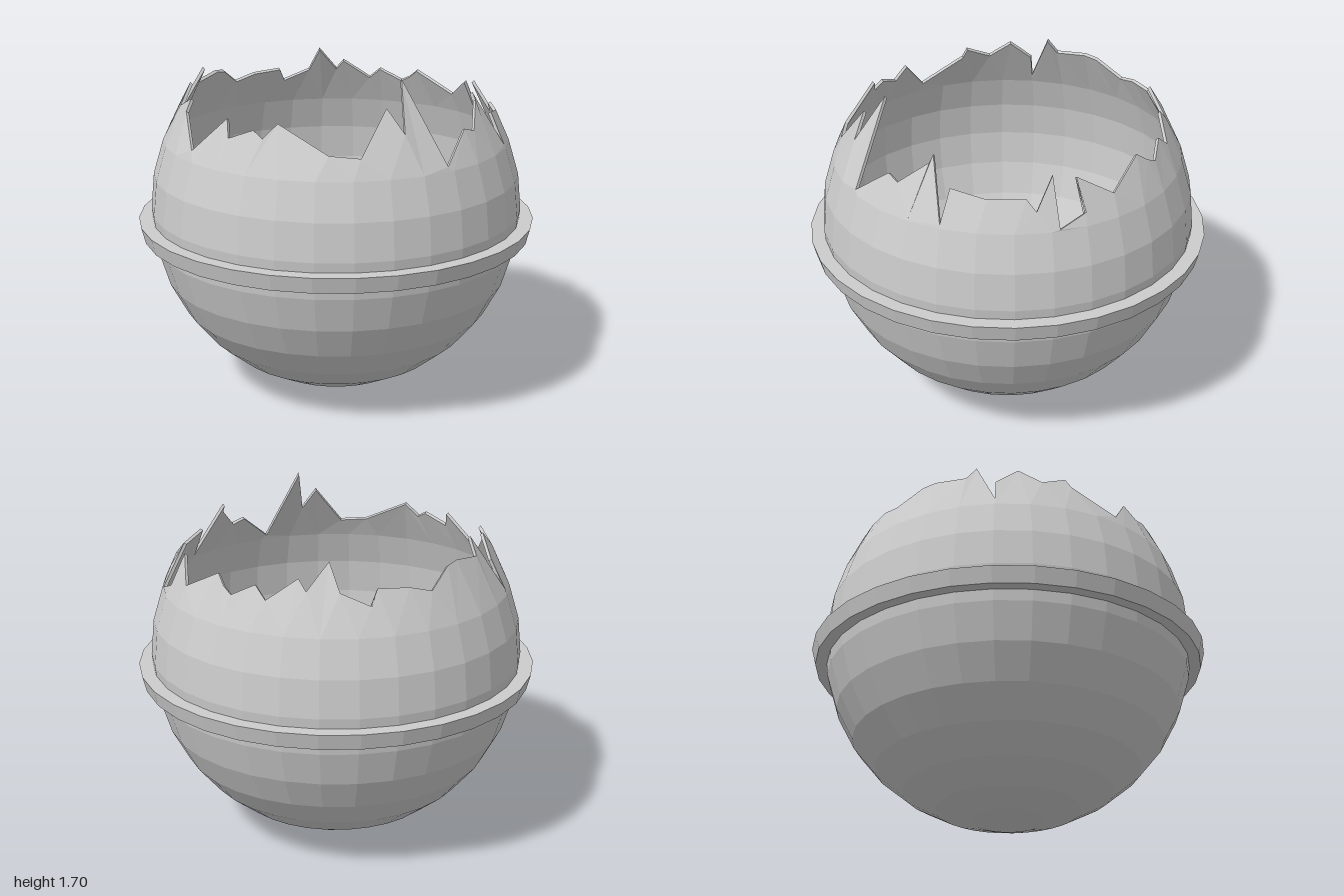
import * as THREE from 'three';

const SIDES = 32, R = 0.935, CY = 0.938, STEP = Math.PI / 16, ROWS = 10;
const INNER = 0.983; // inner skin relative to the outer one

// Broken edge as seen from above: x, z pairs running counter-clockwise from the back
const EDGE = [
  -0.07, -0.80, -0.10, -0.76, -0.25, -0.73, -0.36, -0.70, -0.45, -0.59, -0.50, -0.54, -0.62, -0.42,
  -0.60, -0.36, -0.79, -0.32, -0.72, -0.30, -0.70, -0.18, -0.77, -0.08, -0.74, 0.05, -0.77, 0.07,
  -0.79, 0.29, -0.64, 0.40, -0.65, 0.46, -0.55, 0.54, -0.52, 0.59, -0.45, 0.60, -0.26, 0.77,
  -0.12, 0.81, 0.03, 0.71, 0.10, 0.77, 0.13, 0.62, 0.30, 0.80, 0.43, 0.66, 0.49, 0.63,
  0.55, 0.49, 0.54, 0.47, 0.71, 0.48, 0.66, 0.42, 0.75, 0.27, 0.79, 0.10, 0.82, 0.06,
  0.75, -0.03, 0.86, -0.04, 0.82, -0.17, 0.75, -0.14, 0.75, -0.32, 0.60, -0.47, 0.58, -0.53,
  0.55, -0.58, 0.44, -0.63, 0.40, -0.69, 0.25, -0.70, 0.22, -0.74, 0.11, -0.69, 0.07, -0.77,
];

// Lifts an edge point onto the sphere; the long splinters stand a little higher
function edgePoint(x, z) {
  const r = Math.hypot(x, z);
  const y = CY + Math.sqrt(R * R - r * r) + 0.4 * Math.max(0, 0.82 - r);
  return new THREE.Vector3(x, y, z);
}

function shrink(p) {
  return new THREE.Vector3(p.x * INNER, CY + (p.y - CY) * INNER, p.z * INNER);
}

// Bowl skin up to the last whole row
function bowlGeometry(radius, inside) {
  const profile = [];
  for (let i = 0; i <= ROWS; i++) {
    profile.push(new THREE.Vector2(radius * Math.sin(i * STEP), CY - radius * Math.cos(i * STEP)));
  }
  if (inside) profile.reverse();
  return new THREE.LatheGeometry(profile, SIDES);
}

// Splintered crown between the last row and the broken edge, with both skins and the lip
function crownGeometry() {
  const ring = [], edge = [], pos = [];
  const r = R * Math.sin(ROWS * STEP), y = CY - R * Math.cos(ROWS * STEP);
  for (let i = 0; i <= SIDES; i++) {
    const a = -Math.PI + (i / SIDES) * Math.PI * 2;
    ring.push({ a, p: new THREE.Vector3(r * Math.sin(a), y, r * Math.cos(a)) });
  }
  for (let i = 0; i < EDGE.length; i += 2) {
    edge.push({ a: Math.atan2(EDGE[i], EDGE[i + 1]), p: edgePoint(EDGE[i], EDGE[i + 1]) });
  }
  edge.push({ a: edge[0].a + Math.PI * 2, p: edge[0].p });

  const tri = (...points) => points.forEach((p) => pos.push(p.x, p.y, p.z));
  const skins = (a, b, c) => {
    tri(a, b, c);
    tri(shrink(a), shrink(c), shrink(b));
  };
  let i = 0, j = 0;
  while (i < SIDES || j < edge.length - 1) {
    const stepRing = j === edge.length - 1 || (i < SIDES && ring[i + 1].a < edge[j + 1].a);
    if (stepRing) {
      skins(ring[i].p, ring[i + 1].p, edge[j].p);
      i++;
    } else {
      const a = edge[j].p, b = edge[j + 1].p;
      skins(ring[i].p, b, a);
      tri(a, b, shrink(b));
      tri(a, shrink(b), shrink(a));
      j++;
    }
  }
  const geometry = new THREE.BufferGeometry();
  geometry.setAttribute('position', new THREE.Float32BufferAttribute(pos, 3));
  geometry.computeVertexNormals();
  return geometry;
}

export function createModel() {
  const group = new THREE.Group();
  group.name = 'brokenSphere';
  const material = new THREE.MeshStandardMaterial({ color: 0xcccccc, flatShading: true });
  const add = (name, geometry) => {
    const mesh = new THREE.Mesh(geometry, material);
    mesh.name = name;
    group.add(mesh);
  };

  add('outerShell', bowlGeometry(R, false));
  add('innerShell', bowlGeometry(R * INNER, true));
  add('splinteredCrown', crownGeometry());

  // Flared band around the middle
  const band = [[0.922, 0.81], [0.98, 0.81], [1, 0.89], [0.925, 0.89], [0.922, 0.81]];
  add('band', new THREE.LatheGeometry(band.map(([x, y]) => new THREE.Vector2(x, y)), SIDES));
  return group;
}
